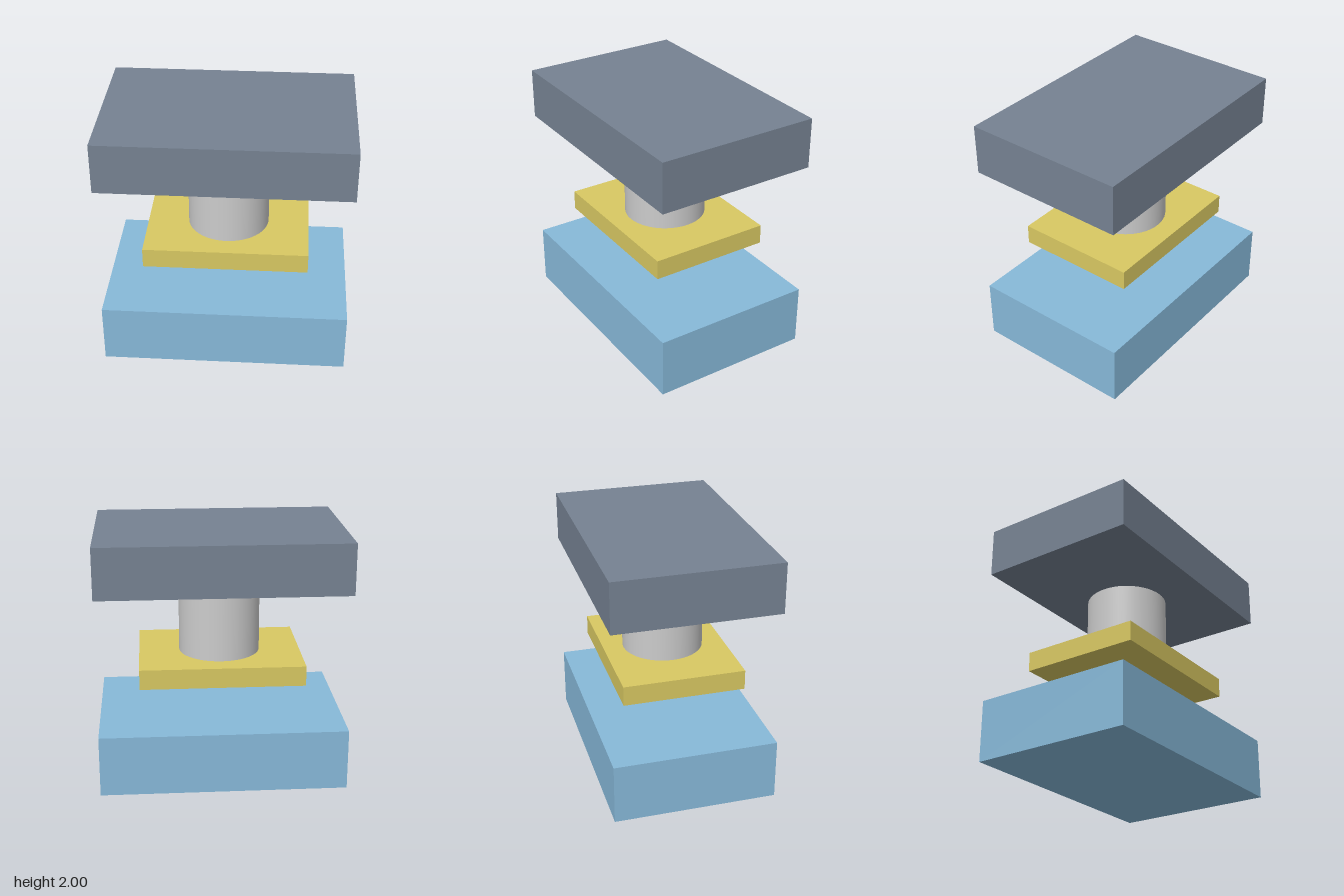
import * as THREE from 'three';

// All parts share one module size: widths are whole multiples of it.
const U = 0.163;

export function createModel() {
  const model = new THREE.Group();
  model.name = 'pressStack';

  function add(name, geometry, color, bottom, height) {
    const mesh = new THREE.Mesh(geometry, new THREE.MeshStandardMaterial({ color }));
    mesh.name = name;
    mesh.position.y = bottom + height / 2;
    model.add(mesh);
  }

  function addBlock(name, width, depth, bottom, top, color) {
    const height = top - bottom;
    add(name, new THREE.BoxGeometry(width, height, depth), color, bottom, height);
  }

  // Rectangular blocks, from the ground up
  addBlock('baseBlock', 12 * U, 8 * U, 0, 0.49, 0x87b9d9);
  addBlock('middlePlate', 8 * U, 6 * U, 0.82, 0.98, 0xd8c862);
  addBlock('topBlock', 12 * U, 8 * U, 1.597, 2, 0x768292);

  // Round post standing on the middle plate, just short of the top block
  const postHeight = 0.572;
  add('post', new THREE.CylinderGeometry(2 * U, 2 * U, postHeight, 48), 0xcccccc, 0.98, postHeight);

  return model;
}
